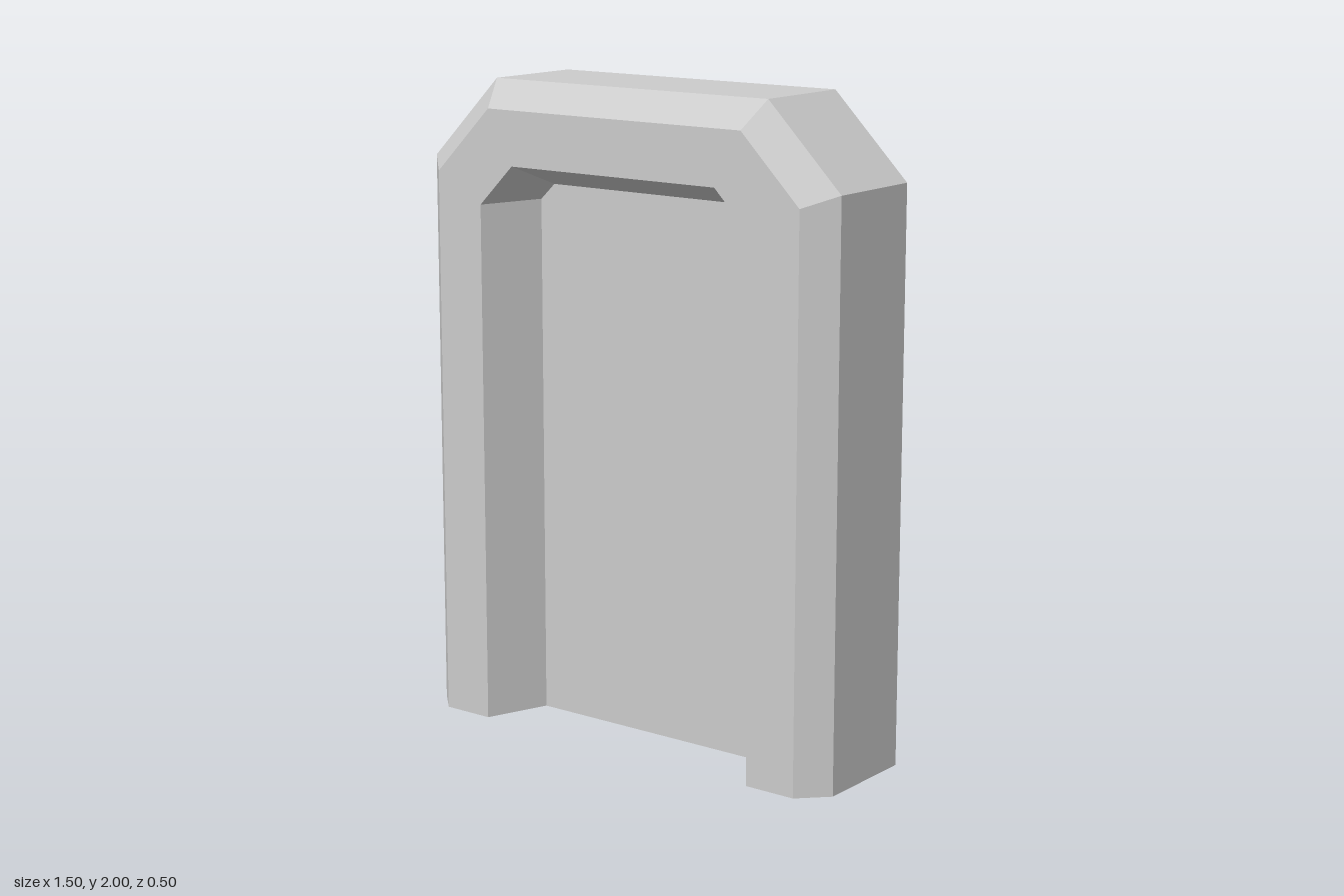
import * as THREE from 'three';

// Arch outline from the right foot, over the chamfered top, to the left foot
function arch(halfWidth, shoulder, topHalf, top) {
  const right = [[halfWidth, 0], [halfWidth, shoulder], [topHalf, top]];
  return [...right, ...right.map(([x, y]) => [-x, y]).reverse()];
}

const panelArch = arch(0.427, 1.627, 0.375, 1.677);
const openingArch = arch(0.5, 1.625, 0.375, 1.75);
const faceArch = arch(0.667, 1.715, 0.465, 1.917);
const outerArch = arch(0.75, 1.75, 0.5, 2);
const PANEL_Z = 0.052;

// Section of the frame, from the front panel around the outside to the back panel
const frontHalf = [
  { outline: panelArch, z: PANEL_Z },
  { outline: openingArch, z: 0.25 },
  { outline: faceArch, z: 0.25 },
  { outline: outerArch, z: 0.167 },
];
const loops = [...frontHalf, ...frontHalf.map(({ outline, z }) => ({ outline, z: -z })).reverse()];

function frameGeometry() {
  const pos = [];
  for (let k = 0; k < loops.length - 1; k++) {
    const point = (loop, i) => [...loop.outline[i], loop.z];
    for (let i = 0; i < outerArch.length - 1; i++) {
      const a = point(loops[k], i), b = point(loops[k + 1], i);
      const c = point(loops[k + 1], i + 1), d = point(loops[k], i + 1);
      pos.push(...a, ...b, ...c, ...a, ...c, ...d);
    }
  }
  const geo = new THREE.BufferGeometry();
  geo.setAttribute('position', new THREE.Float32BufferAttribute(pos, 3));
  geo.computeVertexNormals();
  return geo;
}

const flat = (points) =>
  new THREE.ShapeGeometry(new THREE.Shape(points.map(([x, y]) => new THREE.Vector2(x, y))));

export function createModel() {
  const group = new THREE.Group();
  group.name = 'archedDoorway';
  const material = new THREE.MeshStandardMaterial({ color: 0xcccccc, flatShading: true });
  const add = (name, geometry) => {
    const mesh = new THREE.Mesh(geometry, material);
    mesh.name = name;
    group.add(mesh);
  };

  // Bevelled frame with splayed reveals
  add('frame', frameGeometry());

  // Recessed door panel, front and back
  add('frontPanel', flat(panelArch).translate(0, 0, PANEL_Z));
  add('backPanel', flat(panelArch).translate(0, 0, PANEL_Z).rotateY(Math.PI));

  // Underside: both feet joined by the thin panel
  const foot = loops.map(({ outline, z }) => [outline[0][0], z]);
  const underside = [...foot, ...foot.map(([x, z]) => [-x, z]).reverse()];
  add('underside', flat(underside).rotateX(Math.PI / 2));

  return group;
}
